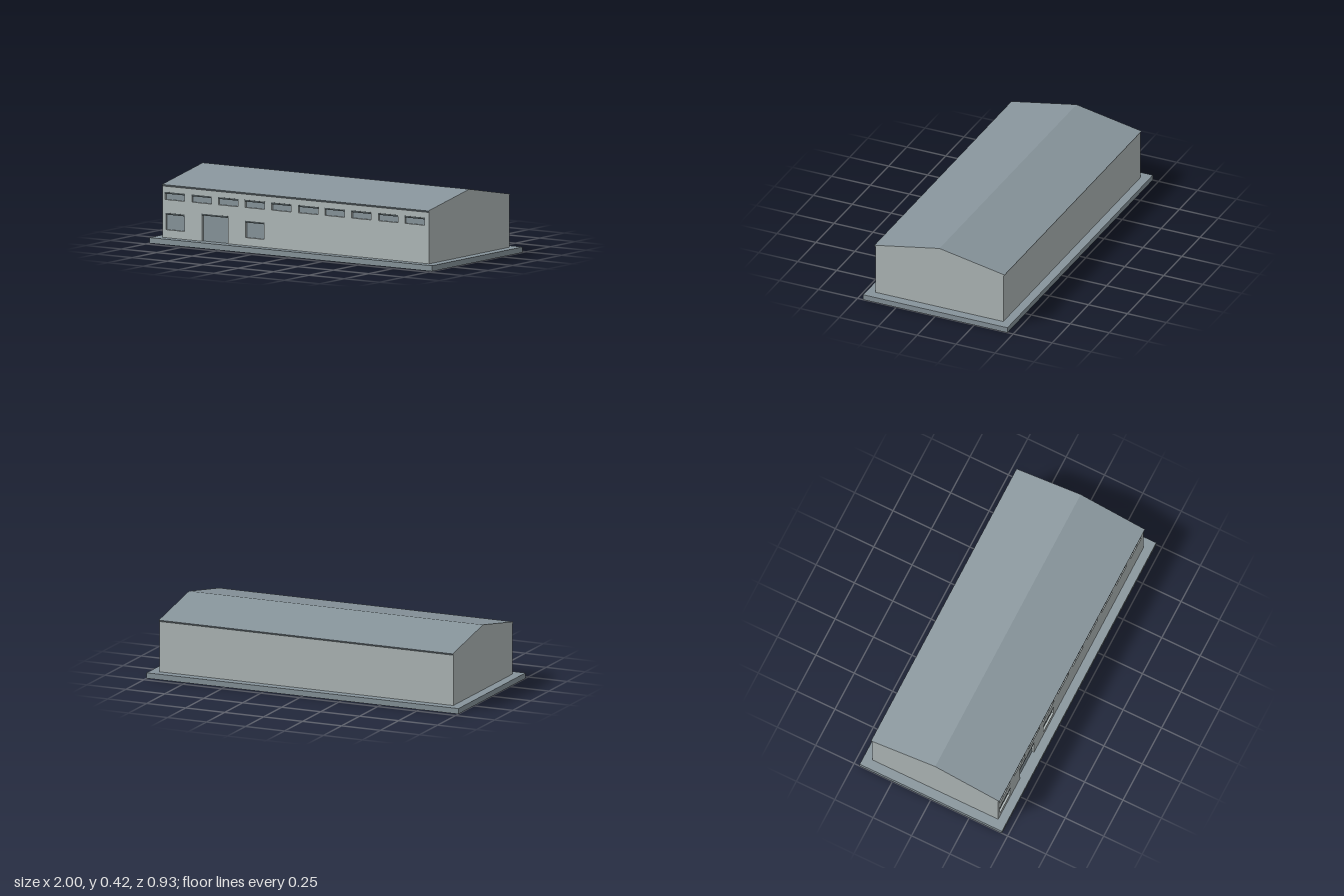
import * as THREE from 'three';

const material = (name, color) => new THREE.MeshStandardMaterial({ name, color });

export function createModel() {
  const model = new THREE.Group();
  model.name = 'warehouse';
  const wall = material('pale wall grey', 0xb0b9b9);
  const slate = material('slate grey', 0x87949b);
  const dark = material('dark lintel grey', 0x464f52);

  const add = (name, geometry, mat, x = 0, y = 0, z = 0) => {
    const mesh = new THREE.Mesh(geometry, mat);
    mesh.name = name;
    mesh.position.set(x, y, z);
    model.add(mesh);
    return mesh;
  };

  const floor = 0.033, eave = 0.335, halfLength = 0.943, halfDepth = 0.41;
  const recess = 0.015, height = eave - floor;

  // Base slab
  add('baseSlab', new THREE.BoxGeometry(2, floor, 0.926), slate, 0, floor / 2, 0);

  // Main hall, stopping short of the pierced front wall
  add('hall', new THREE.BoxGeometry(halfLength * 2, height, halfDepth * 2 - recess),
    wall, 0, floor + height / 2, -recess / 2);

  // Openings: x centre, width, bottom, top
  const openings = [
    { name: 'lowerWindow', x: -0.855, w: 0.13, y0: 0.08, y1: 0.178 },
    { name: 'lowerWindow', x: -0.29, w: 0.13, y0: 0.08, y1: 0.178 },
    { name: 'door', x: -0.571, w: 0.184, y0: floor, y1: 0.194 },
  ];
  for (let i = 0; i < 10; i++) {
    openings.push({ name: 'upperWindow', x: -0.856 + i * 0.1885, w: 0.138, y0: 0.257, y1: 0.301 });
  }

  // Front wall with holes; the door notch is part of the outline
  const door = openings[2];
  const left = door.x - door.w / 2, right = door.x + door.w / 2;
  const front = new THREE.Shape([
    [-halfLength, floor], [left, floor], [left, door.y1], [right, door.y1], [right, floor],
    [halfLength, floor], [halfLength, eave], [-halfLength, eave],
  ].map(([x, y]) => new THREE.Vector2(x, y)));
  for (const o of openings) {
    if (o === door) continue;
    const a = o.x - o.w / 2, b = o.x + o.w / 2;
    front.holes.push(new THREE.Path([
      new THREE.Vector2(a, o.y0), new THREE.Vector2(a, o.y1),
      new THREE.Vector2(b, o.y1), new THREE.Vector2(b, o.y0),
    ]));
  }
  add('frontWall', new THREE.ExtrudeGeometry(front, { depth: recess, bevelEnabled: false }),
    wall, 0, 0, halfDepth - recess);

  // Recessed panels and dark lintels
  for (const o of openings) {
    add(o.name, new THREE.BoxGeometry(o.w, o.y1 - o.y0, 0.004),
      slate, o.x, (o.y0 + o.y1) / 2, halfDepth - recess + 0.001);
    add(o.name + 'Lintel', new THREE.BoxGeometry(o.w + 0.006, 0.01, 0.004),
      dark, o.x, o.y1 - 0.004, halfDepth - 0.001);
  }

  // Gabled roof: pale end caps, slate slopes and tapered eaves
  const gable = new THREE.Shape([
    [-0.41, eave], [0.41, eave], [0.418, 0.345], [0, 0.423], [-0.418, 0.345],
  ].map(([z, y]) => new THREE.Vector2(z, y)));
  const roof = new THREE.ExtrudeGeometry(gable, { depth: halfLength * 2, bevelEnabled: false });
  roof.translate(0, 0, -halfLength).rotateY(Math.PI / 2);
  add('roof', roof, [wall, slate]);

  return model;
}
